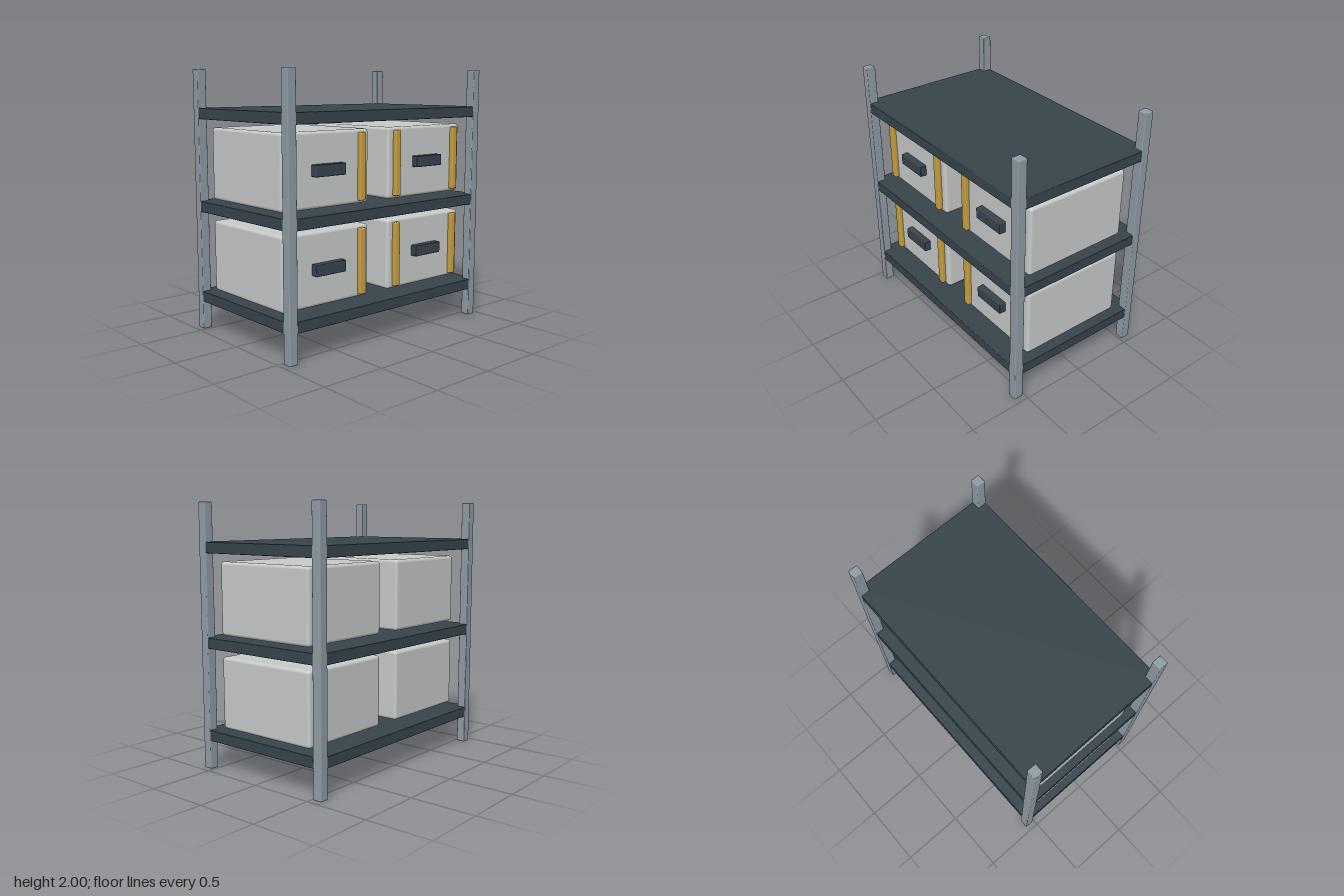
import * as THREE from 'three';
import { RoundedBoxGeometry } from 'three/addons/geometries/RoundedBoxGeometry.js';

const material = (name, color) => {
  const m = new THREE.MeshStandardMaterial({ color });
  m.name = name;
  return m;
};

export function createModel() {
  const steel = material('steel grey', 0x8f9ba3);
  const slate = material('dark slate', 0x37444b);
  const shell = material('pale grey', 0xc6cac9);
  const amber = material('amber', 0xc9a03f);

  const block = (parent, name, mat, size, pos, radius) => {
    const mesh = new THREE.Mesh(new RoundedBoxGeometry(...size, 3, radius), mat);
    mesh.name = name;
    mesh.position.set(...pos);
    parent.add(mesh);
  };

  const model = new THREE.Group();
  model.name = 'storageRack';

  // Four corner posts
  for (const x of [-1, 1]) {
    for (const z of [-1, 1]) {
      block(model, 'post', steel, [0.072, 2, 0.072], [x * 0.922, 1, z * 0.552], 0.007);
    }
  }

  // Three shelves, just inside the outer post faces
  for (const y of [0.26, 0.965, 1.67]) {
    block(model, 'shelf', slate, [1.91, 0.082, 1.17], [0, y, 0], 0.005);
  }

  // Two crates on each of the lower shelves
  for (const y of [0.593, 1.297]) {
    for (const x of [-0.5, 0.5]) {
      const crate = new THREE.Group();
      crate.name = 'crate';
      crate.position.set(x, y, 0);
      block(crate, 'crateBody', shell, [0.8, 0.545, 0.866], [0, 0, 0], 0.025);
      for (const side of [-1, 1]) {
        block(crate, 'strap', amber, [0.056, 0.5, 0.05], [side * 0.32, 0, 0.441], 0.01);
      }
      block(crate, 'handle', slate, [0.276, 0.086, 0.07], [0, 0, 0.45], 0.006);
      model.add(crate);
    }
  }
  return model;
}
